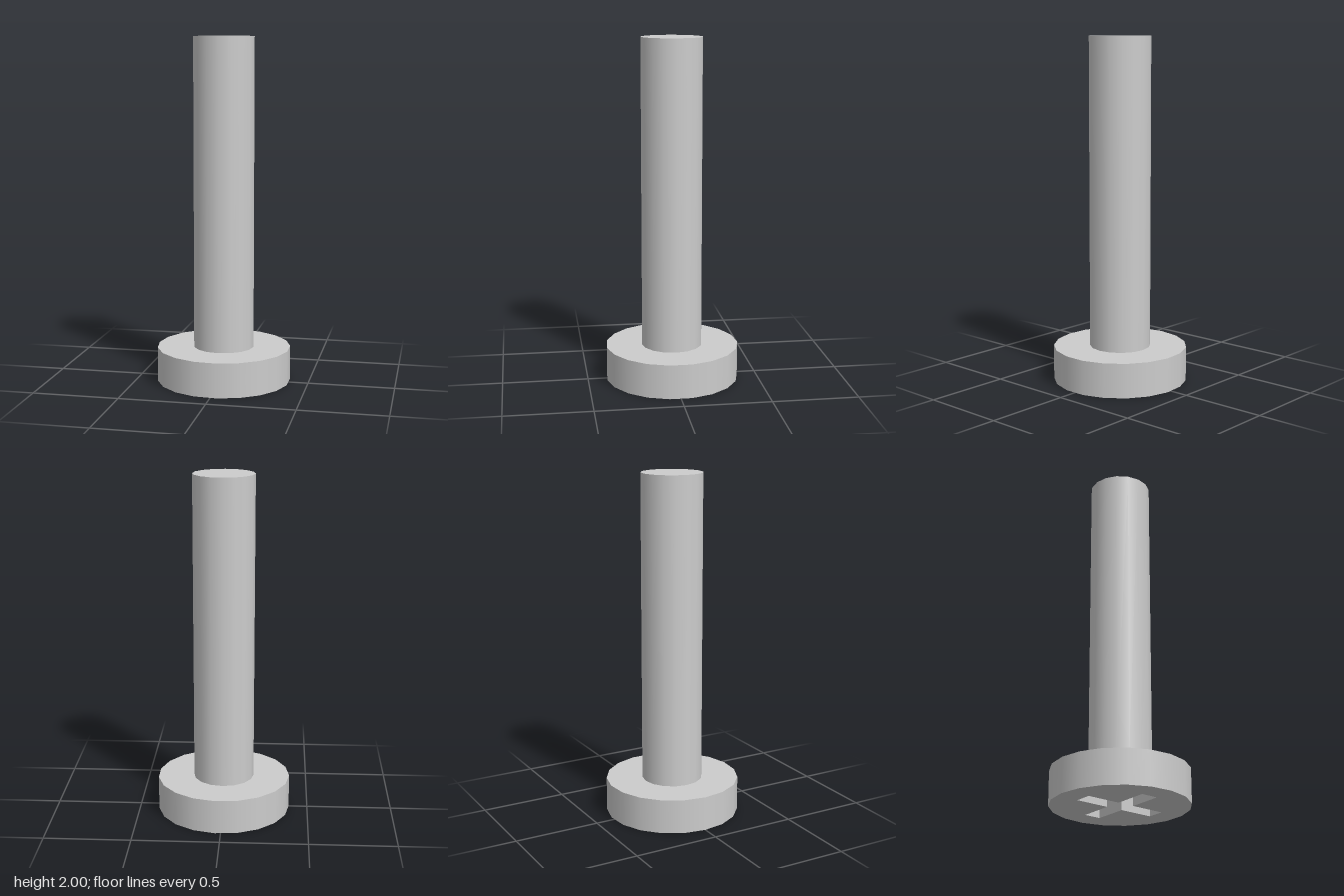
import * as THREE from 'three';

const HEAD_R = 0.39, HEAD_H = 0.2, SHAFT_R = 0.177, TOP = 2;
const ARM = 0.25, HALF = 0.05, DEPTH = 0.1;

// Regular polygon outline with one corner on -x
function polygon(radius, sides) {
  const pts = [];
  for (let i = 0; i < sides; i++) {
    const a = Math.PI + (i / sides) * Math.PI * 2;
    pts.push(new THREE.Vector2(Math.cos(a) * radius, Math.sin(a) * radius));
  }
  return pts;
}

// Cross outline, counter-clockwise, one arm per quarter turn
function cross() {
  const pts = [];
  for (let i = 0; i < 4; i++) {
    for (const [x, y] of [[ARM, -HALF], [ARM, HALF], [HALF, HALF]]) {
      pts.push(new THREE.Vector2(x, y).rotateAround(new THREE.Vector2(), i * Math.PI / 2));
    }
  }
  return pts;
}

// Flat horizontal face with an optional hole, facing up (dir 1) or down (dir -1)
function face(outline, hole, y, dir) {
  const shape = new THREE.Shape(outline);
  if (hole) shape.holes.push(new THREE.Path(hole));
  return new THREE.ShapeGeometry(shape).rotateX(-dir * Math.PI / 2).translate(0, y, 0);
}

// Smooth open side wall of a round part
function side(radius, y0, y1, sides) {
  return new THREE.CylinderGeometry(radius, radius, y1 - y0, sides, 1, true, -Math.PI / 2)
    .translate(0, (y0 + y1) / 2, 0);
}

// Upright walls around an outline, facing its inside
function innerWalls(outline, height) {
  const pos = [];
  outline.forEach((a, i) => {
    const b = outline[(i + 1) % outline.length];
    pos.push(a.x, 0, a.y, b.x, 0, b.y, b.x, height, b.y);
    pos.push(a.x, 0, a.y, b.x, height, b.y, a.x, height, a.y);
  });
  const g = new THREE.BufferGeometry();
  g.setAttribute('position', new THREE.Float32BufferAttribute(pos, 3));
  g.computeVertexNormals();
  return g;
}

export function createModel() {
  const model = new THREE.Group();
  model.name = 'screw';
  const steel = new THREE.MeshStandardMaterial({ color: 0xcccccc });
  steel.name = 'steel grey';

  const part = (name, geometries) => {
    const group = new THREE.Group();
    group.name = name;
    for (const [label, geometry] of Object.entries(geometries)) {
      const mesh = new THREE.Mesh(geometry, steel);
      mesh.name = label;
      group.add(mesh);
    }
    model.add(group);
  };

  const headOutline = polygon(HEAD_R, 19);
  const shaftOutline = polygon(SHAFT_R, 16);

  // Plain cylindrical shaft
  part('shaft', {
    shaftSide: side(SHAFT_R, HEAD_H, TOP, 16),
    shaftEnd: face(shaftOutline, null, TOP, 1),
  });

  // Wide head that the screw stands on
  part('head', {
    headSide: side(HEAD_R, 0, HEAD_H, 19),
    headShoulder: face(headOutline, shaftOutline, HEAD_H, 1),
    headFace: face(headOutline, cross(), 0, -1),
  });

  // Cross-shaped driver recess sunk into the head
  part('driverRecess', {
    recessWalls: innerWalls(cross(), DEPTH),
    recessFloor: face(cross(), null, DEPTH, -1),
  });

  return model;
}
